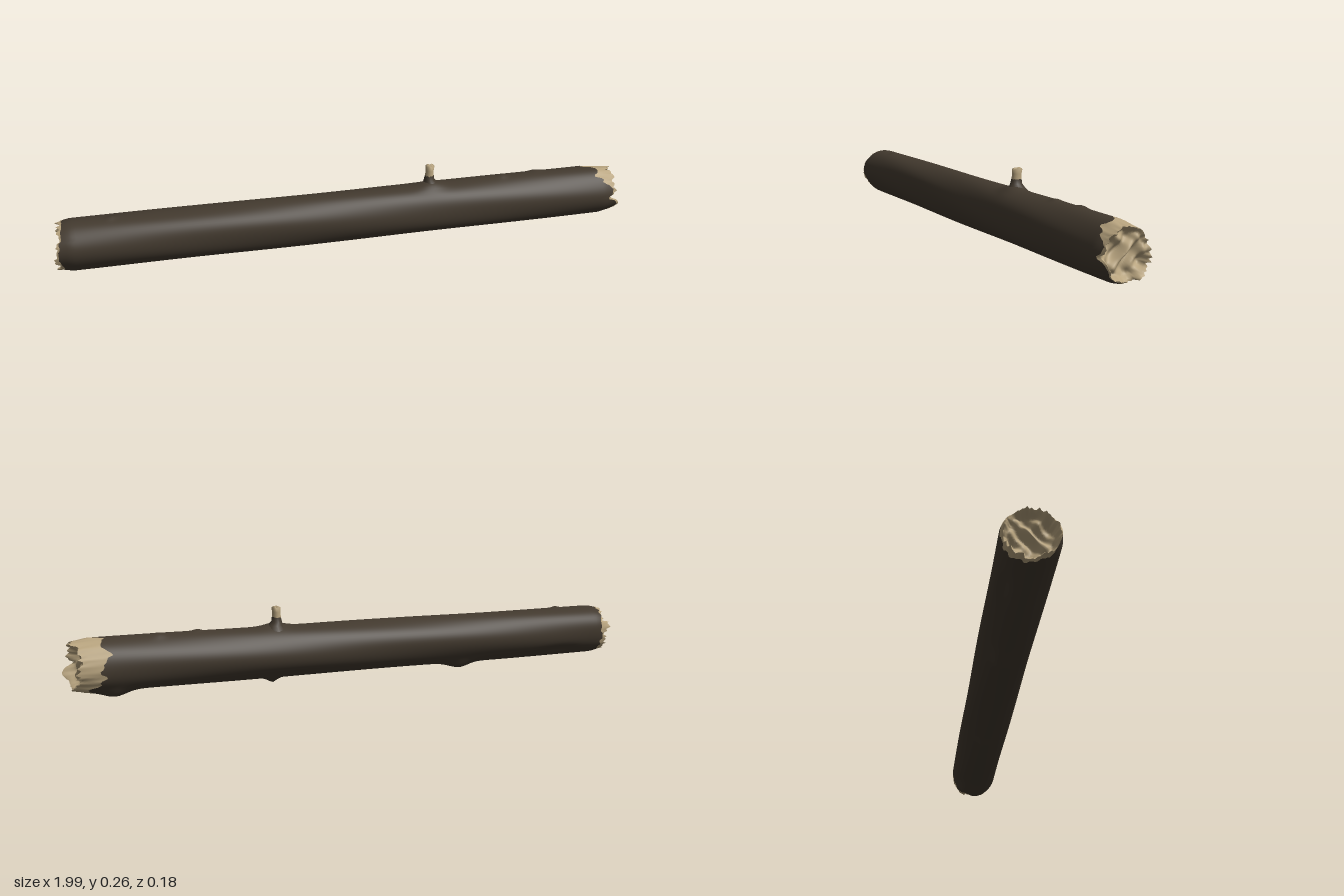
import * as THREE from 'three';

const COLS = 72, CY = 0.108;
const hash = (n) => { const s = Math.sin(n * 127.1 + 11.7) * 43758.5453; return s - Math.floor(s); };
const mix = THREE.MathUtils.lerp, smooth = THREE.MathUtils.smoothstep;

// Surface of closed rings: point(v, angle, column) for v = 0..1, angle 0 = top, PI/2 = front
function loft(rows, cols, point) {
  const pos = [], idx = [];
  for (let i = 0; i <= rows; i++) {
    for (let j = 0; j < cols; j++) pos.push(...point(i / rows, (j / cols) * Math.PI * 2, j));
  }
  for (let i = 0; i < rows; i++) {
    for (let j = 0; j < cols; j++) {
      const a = i * cols + j, b = i * cols + (j + 1) % cols;
      idx.push(a, b, a + cols, b, b + cols, a + cols);
    }
  }
  const g = new THREE.BufferGeometry();
  g.setAttribute('position', new THREE.Float32BufferAttribute(pos, 3));
  g.setIndex(idx);
  g.computeVertexNormals();
  return g;
}

// Knots on the bark: x, angle, height, length, angular width
const KNOTS = [
  [-0.38, 3.4, 0.018, 0.05, 0.3], [0.32, 3.3, 0.015, 0.018, 0.2], [0.85, 3.5, 0.02, 0.05, 0.3],
  [-0.8, 0.1, 0.006, 0.015, 0.15], [0.57, 0, 0.006, 0.015, 0.15], [0.7, -0.2, 0.005, 0.02, 0.2],
  [-0.78, 3.9, -0.008, 0.07, 0.25], [0.3, 0.1, 0.012, 0.045, 0.35],
];

function barkRadius(x, a) {
  let r = 0.0875 + 0.0015 * Math.sin(3 * a + 2 * x) + 0.001 * Math.sin(5 * a - 7 * x);
  for (const [kx, ka, h, len, wide] of KNOTS) {
    const da = Math.atan2(Math.sin(a - ka), Math.cos(a - ka));
    r += h * Math.exp(-(((x - kx) / len) ** 2) - (da / wide) ** 2);
  }
  return r - 0.008 * smooth(Math.abs(x), 0.93, 0.985);
}

const ringPoint = (x, r, a) => [x, CY + r * Math.cos(a), r * Math.sin(a)];

// Ragged line where the bark stops, and the splinter tips beyond it
const barkEnd = {
  right: (a, j) => 0.925 + 0.05 * Math.sin(a - 0.55) + 0.022 * (hash(j >> 1) - 0.5) + 0.012 * Math.sin(7 * a),
  left: (a, j) => -0.962 - 0.012 * Math.sin(a) + 0.014 * (hash((j >> 1) + 90) - 0.5),
};
const splinterTip = {
  right: (a, j) => Math.max(barkEnd.right(a, j) + 0.008,
    0.945 + 0.03 * hash((j >> 2) + 31) + 0.025 * hash(j + 7)),
  left: (a, j) => Math.min(barkEnd.left(a, j) - 0.006,
    -0.955 - 0.025 * hash((j >> 2) + 52) - 0.02 * hash(j + 63)),
};

// Lumpy broken wood inside each end
const lumps = (y, z) => 0.5 * Math.sin(75 * y + 2.5 * Math.sin(48 * z)) +
  0.35 * Math.sin(92 * z + 2 * Math.sin(63 * y)) + 0.3 * Math.sin(130 * (y + z));

function brokenEnd(side) {
  const s = side === 'right' ? 1 : -1;
  const edge = barkEnd[side], tip = splinterTip[side];
  const rimRadius = (a, j) => 0.081 - 0.006 * hash(j + 17);
  const rim = loft(5, COLS, (v, a, j) => {
    const t = s > 0 ? v : 1 - v, x0 = edge(a, j);
    return ringPoint(mix(x0, tip(a, j), t), mix(barkRadius(x0, a), rimRadius(a, j), t), a);
  });
  const core = loft(22, COLS, (v, a, j) => {
    const t = s > 0 ? v : 1 - v;
    const r = rimRadius(a, j) * (1 - t), p = ringPoint(0, r, a);
    const floor = s * (0.945 + 0.016 * lumps(p[1], p[2]));
    p[0] = mix(tip(a, j), floor, smooth(t, 0, 0.22));
    return p;
  });
  return [rim, core];
}

// Short broken side twig growing from the top
const TWIG = [[0.17, 0.052], [0.19, 0.038], [0.2, 0.028], [0.212, 0.02], [0.227, 0.017], [0.245, 0.0155], [0.258, 0.017], [0.262, 0.009], [0.259, 0]];
function twigPart(first, last) {
  const n = last - first;
  return loft(n, 18, (v, a, j) => {
    const k = first + Math.round(v * n), [y, r] = TWIG[k];
    const ragged = k >= 6 ? 0.007 * (hash((j >> 1) + 5) - 0.4) : k === 4 ? 0.004 * (hash(j + 8) - 0.5) : 0;
    const lean = Math.max(0, y - 0.2);
    const cx = 0.298 + (k < 3 ? 0.006 : 0) + lean * 0.05, cz = -0.003 - lean * 0.05;
    return [cx + r * 0.9 * Math.sin(a), y + ragged, cz + r * Math.cos(a)];
  });
}

export function createModel() {
  const bark = new THREE.MeshStandardMaterial({ color: 0x42392e });
  bark.name = 'dark bark';
  const wood = new THREE.MeshStandardMaterial({ color: 0xb8a47f });
  wood.name = 'pale wood';
  const model = new THREE.Group();
  model.name = 'log';
  const add = (name, geometry, material, parent = model) => {
    const mesh = new THREE.Mesh(geometry, material);
    mesh.name = name;
    parent.add(mesh);
  };

  // Trunk
  add('barkTrunk', loft(160, COLS, (v, a, j) => {
    const x = mix(barkEnd.left(a, j), barkEnd.right(a, j), v);
    return ringPoint(x, barkRadius(x, a), a);
  }), bark);

  // Splintered ends
  for (const side of ['left', 'right']) {
    const end = new THREE.Group();
    end.name = side === 'right' ? 'leftBrokenEnd' : 'rightBrokenEnd';
    const [rim, core] = brokenEnd(side);
    add('splinterRim', rim, wood, end);
    add('brokenCore', core, wood, end);
    model.add(end);
  }

  // Side twig
  const twig = new THREE.Group();
  twig.name = 'twig';
  add('twigBark', twigPart(0, 4), bark, twig);
  add('twigWood', twigPart(4, 8), wood, twig);
  model.add(twig);
  return model;
}
